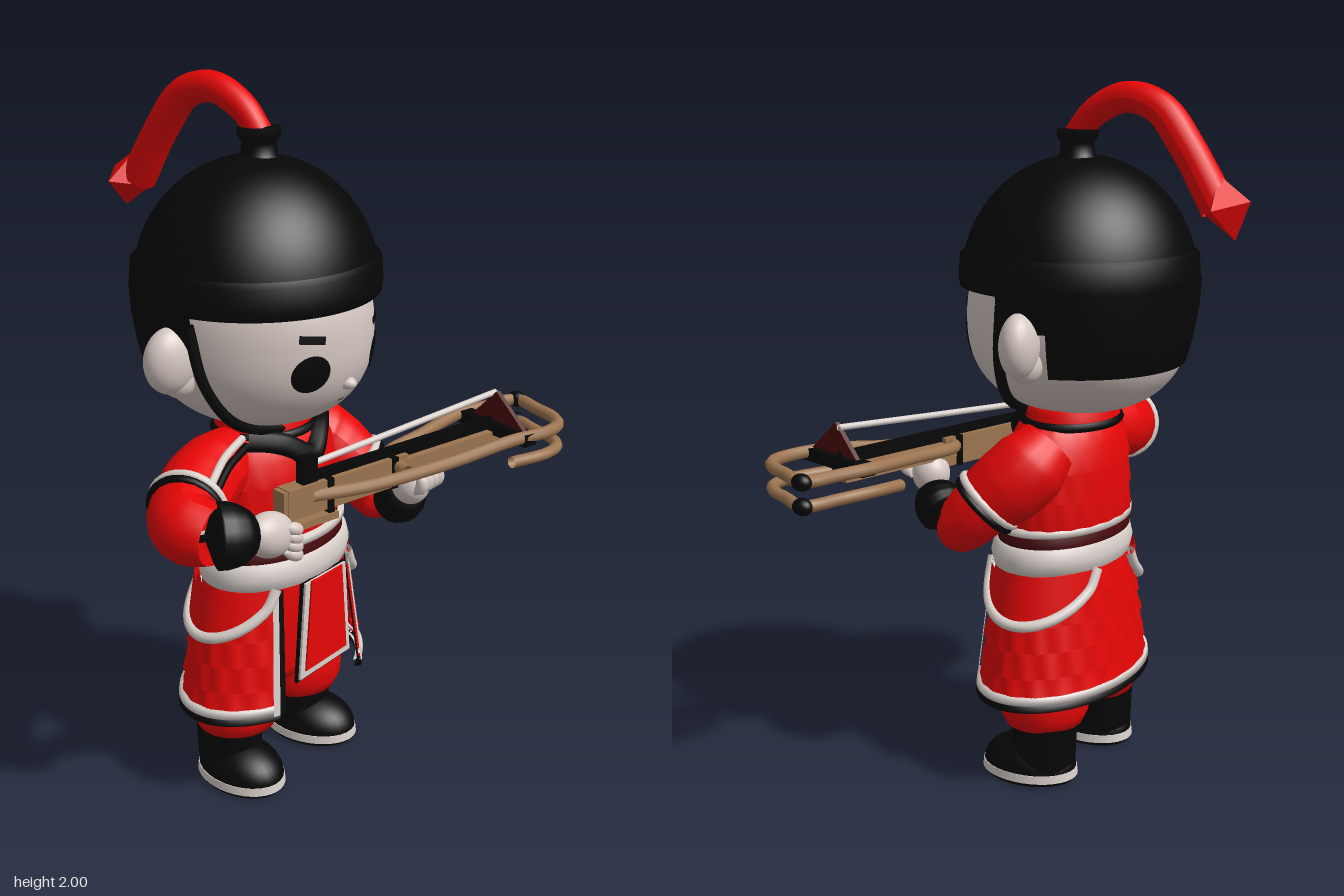
import * as THREE from 'three';

const mat = (name, color) => Object.assign(
  new THREE.MeshStandardMaterial({ color, side: THREE.DoubleSide }), { name });
const V = (p) => new THREE.Vector3(...p);

export function createModel() {
  const red = mat('red cloth', 0xe60606), black = mat('black', 0x060606);
  const skin = mat('skin', 0xd6c8c3), white = mat('white trim', 0xd9d0cb);
  const wood = mat('wood', 0x9c7450), maroon = mat('dark red', 0x4d0a0d);

  const model = new THREE.Group();
  const group = (parent, name, x, y, z) => {
    const g = new THREE.Group();
    g.name = name;
    g.position.set(x, y, z);
    parent.add(g);
    return g;
  };
  const body = group(model, 'body', -0.108, 0, 0);
  const head = group(model, 'headAndHelmet', -0.123, 0, 0);

  const add = (parent, name, geo, material, pos = [0, 0, 0], scale = [1, 1, 1]) => {
    const m = new THREE.Mesh(geo, material);
    m.name = name;
    m.position.set(...pos);
    m.scale.set(...scale);
    parent.add(m);
    return m;
  };
  const ball = (parent, name, material, pos, radii) =>
    add(parent, name, new THREE.SphereGeometry(1, 28, 20), material, pos, radii);
  const box = (parent, name, material, size, pos) =>
    add(parent, name, new THREE.BoxGeometry(...size), material, pos);
  // Elliptical turned part: points are [radius, y], listed upwards
  const turnedIn = (parent) => (name, pts, material, zScale, z = 0, a = 0, len = Math.PI * 2) =>
    add(parent, name, new THREE.LatheGeometry(pts.map(p => new THREE.Vector2(...p)), 96, a, len),
      material, [0, 0, z], [1, 1, zScale]);
  const turned = turnedIn(body), headTurned = turnedIn(head);
  // Tube whose radius follows a list along its length
  const limb = (parent, name, pts, radii, material, seg = 28) => {
    const curve = new THREE.CatmullRomCurve3(pts.map(V));
    const geo = new THREE.TubeGeometry(curve, seg, 1, 18);
    const pos = geo.attributes.position, v = new THREE.Vector3();
    for (let i = 0; i < pos.count; i++) {
      const t = Math.floor(i / 19) / seg, f = t * (radii.length - 1);
      const k = Math.min(Math.floor(f), radii.length - 2);
      const r = THREE.MathUtils.lerp(radii[k], radii[k + 1], f - k);
      const c = curve.getPointAt(t);
      v.fromBufferAttribute(pos, i).sub(c).multiplyScalar(r).add(c);
      pos.setXYZ(i, v.x, v.y, v.z);
    }
    geo.computeVertexNormals();
    return add(parent, name, geo, material);
  };
  const tube = (parent, name, pts, r, material) => add(parent, name,
    new THREE.TubeGeometry(new THREE.CatmullRomCurve3(pts.map(V), false, 'centripetal'), 64, r, 10), material);
  const ring = (name, pos, dir, R, r, material) =>
    add(model, name, new THREE.TorusGeometry(R, r, 10, 32), material, pos)
      .quaternion.setFromUnitVectors(new THREE.Vector3(0, 0, 1), V(dir).normalize());
  // Armour scales: ripple a turned part, shifting every other row
  const scales = (mesh, depth, rowHeight) => {
    const p = mesh.geometry.attributes.position;
    for (let i = 0; i < p.count; i++) {
      const row = Math.floor(p.getY(i) / rowHeight);
      const k = 1 + depth * Math.cos(Math.atan2(p.getX(i), p.getZ(i)) * 20 + row * Math.PI);
      p.setX(i, p.getX(i) * k);
      p.setZ(i, p.getZ(i) * k);
    }
    mesh.geometry.computeVertexNormals();
  };

  // Head, slightly squared in profile
  const headR = (y) => Math.pow(Math.max(0, 1 - Math.pow(Math.abs((y - 1.345) / 0.265), 2.4)), 1 / 2.4);
  const headZ = (x, y) => 0.32 * Math.sqrt(Math.max(0, headR(y) ** 2 - (x / 0.3) ** 2)) - 0.03;
  const headPts = [];
  for (let i = 0; i <= 36; i++) {
    const y = 1.345 - 0.265 * Math.cos(Math.PI * i / 36);
    headPts.push([0.3 * headR(y), y]);
  }
  headTurned('head', headPts, skin, 0.32 / 0.3, -0.03);

  // Face details laid onto the head surface
  const onFace = (name, geo, material, x, y, lift = 0.005) => {
    geo.translate(x, y, 0);
    const p = geo.attributes.position;
    for (let i = 0; i < p.count; i++) p.setZ(i, headZ(p.getX(i), p.getY(i)) + lift);
    geo.computeVertexNormals();
    add(head, name, geo, material);
  };
  for (const s of [-1, 1]) {
    onFace('eye', new THREE.RingGeometry(0, 1, 28, 4).scale(0.048, 0.051, 1), black, s * 0.135, 1.29);
    onFace('eyebrow', new THREE.PlaneGeometry(0.065, 0.022, 8, 2).rotateZ(s * 0.15), black, s * 0.135, 1.383);
    ball(head, 'ear', skin, [s * 0.332, 1.318, -0.052], [0.076, 0.09, 0.053]).rotation.y = s * 0.25;
    ball(head, 'earLobe', skin, [s * 0.3, 1.26, -0.052], [0.05, 0.052, 0.045]);
  }
  ball(head, 'nose', skin, [0, 1.235, 0.266], [0.022, 0.018, 0.03]);
  onFace('mouth', new THREE.PlaneGeometry(0.025, 0.005, 6, 1), maroon, 0, 1.185, 0.003);

  // Helmet: dome, brow band, neck guard, knob and chin strap
  const dome = [];
  for (let i = 0; i <= 24; i++) {
    const a = Math.PI / 2 * i / 24;
    dome.push([0.338 * Math.cos(a), 1.455 + 0.345 * Math.sin(a)]);
  }
  headTurned('helmetDome', dome, black, 0.97, -0.035);
  headTurned('helmetBand', [[0.29, 1.45], [0.343, 1.445], [0.347, 1.47], [0.342, 1.53], [0.325, 1.545]], black, 0.97, -0.035);
  headTurned('neckGuard', [[0.285, 1.24], [0.305, 1.228], [0.325, 1.3], [0.34, 1.39], [0.344, 1.46]],
    black, 0.99, -0.035, 1.85, Math.PI * 2 - 3.7);
  headTurned('cheekGuard', [[0.29, 1.35], [0.322, 1.35], [0.337, 1.4], [0.344, 1.46]], black, 0.99, -0.035, 1.4, Math.PI * 2 - 2.8);
  headTurned('helmetKnob', [[0.075, 1.77], [0.05, 1.8], [0.046, 1.83], [0.058, 1.85], [0.058, 1.868], [0, 1.872]],
    black, 1, -0.035).position.x = 0.015;
  const strapHalf = [[0.33, 1.42, 0.01], [0.302, 1.26, 0.035], [0.225, 1.145, 0.06], [0.11, 1.09, 0.075]];
  tube(head, 'chinStrap', [...strapHalf, [0, 1.075, 0.08],
    ...strapHalf.map(([x, y, z]) => [-x, y, z]).reverse()], 0.015, black);

  // Plume
  limb(body, 'plume', [[0, 1.85, -0.03], [0, 1.915, -0.09], [0, 1.957, -0.19], [0, 1.93, -0.29],
    [0, 1.83, -0.375], [0, 1.68, -0.47]], [0.036, 0.04, 0.043, 0.047, 0.047, 0.05], red, 40);
  add(body, 'plumeTuft', new THREE.OctahedronGeometry(1, 0), red, [0, 1.68, -0.495], [0.095, 0.088, 0.07]).rotation.x = 0.3;

  // Torso in overlapping armour rows
  scales(turned('torso', [[0.22, 0.64], [0.222, 0.76], [0.24, 0.775], [0.23, 0.85], [0.238, 0.855], [0.226, 0.93],
    [0.232, 0.935], [0.215, 1.0], [0.185, 1.045], [0.15, 1.065]], red, 0.67, -0.008), 0.01, 0.08);
  turned('collar', [[0.155, 1.055], [0.15, 1.09], [0.138, 1.115], [0.1, 1.118]], red, 0.84, -0.025);
  turned('collarTrim', [[0.16, 1.045], [0.168, 1.055], [0.162, 1.068], [0.15, 1.07]], black, 0.84, -0.022);
  tube(body, 'scarf', [[-0.16, 1.06, 0.04], [-0.08, 1.04, 0.1], [0, 0.995, 0.135], [0.08, 1.04, 0.1], [0.16, 1.06, 0.04]], 0.032, black);

  // Belt
  turned('belt', [[0.23, 0.635], [0.252, 0.645], [0.262, 0.68], [0.252, 0.715], [0.235, 0.722]], white, 0.69, 0.008);
  turned('beltBand', [[0.23, 0.72], [0.244, 0.722], [0.244, 0.758], [0.23, 0.76]], maroon, 0.69, 0.002);
  turned('beltTrim', [[0.23, 0.753], [0.25, 0.756], [0.25, 0.775], [0.23, 0.78]], white, 0.69, 0.002);

  // Skirt in scaled rows, open at the front
  const open = 0.6, span = Math.PI * 2 - open * 2, skirtZ = 0.002;
  const skirtR = (y) => 0.262 + (0.65 - y) * 0.17;
  const rows = [];
  for (let i = 0; i < 5; i++) {
    const y = 0.285 + i * 0.073;
    rows.push([skirtR(y) + 0.007, y], [skirtR(y + 0.07) - 0.003, y + 0.07]);
  }
  scales(turned('skirt', rows, red, 0.64, skirtZ, open, span), 0.013, 0.073);
  const hem = (name, y0, y1, off, m) => turned(name,
    [[skirtR(y0) - 0.015, y0], [skirtR(y0) + off, y0], [skirtR(y1) + off, y1], [skirtR(y1) - 0.005, y1]],
    m, 0.64, skirtZ, open, span);
  hem('skirtHem', 0.265, 0.286, 0.012, black);
  hem('skirtHemTrim', 0.286, 0.307, 0.015, white);
  for (const s of [-1, 1]) {
    const strip = (name, a, w, off, m) => turned(name, [[skirtR(0.28) + off, 0.28], [skirtR(0.64) + off, 0.64]],
      m, 0.64, skirtZ, s > 0 ? a : -a - w, w);
    strip('panelTrim', open, 0.07, 0.016, white);
    strip('panelEdge', open - 0.06, 0.06, 0.008, black);
  }
  turned('underSkirt', [[0, 0.28], [0.15, 0.29], [0.235, 0.36], [0.24, 0.64]], red, 0.62, -0.01);

  // Front flap with layered borders
  const flap = (name, inset, z, m) => {
    const b = 0.117 - inset, t = 0.092 - inset, y0 = 0.36 + inset;
    const shape = new THREE.Shape([[-b, y0], [b, y0], [t, 0.65], [-t, 0.65]].map(p => new THREE.Vector2(...p)));
    add(body, name, new THREE.ExtrudeGeometry(shape, { depth: 0.008, bevelEnabled: false }), m, [0, 0, z]);
  };
  flap('flapBack', -0.008, 0.178, black);
  flap('flapTrim', 0, 0.185, white);
  flap('flap', 0.022, 0.19, red);

  for (const s of [-1, 1]) {
    // Hip lappet with rounded lower edge
    const at = (u, v, off) => {
      const phi = s * (0.63 + u * 2.17);
      const y = 0.65 - v * 0.14 * Math.pow(Math.sin(Math.PI * u), 0.55);
      const r = skirtR(y) + off;
      return [r * Math.sin(phi), y, 0.64 * r * Math.cos(phi) + skirtZ];
    };
    const geo = new THREE.PlaneGeometry(1, 1, 28, 6), gp = geo.attributes.position;
    for (let i = 0; i < gp.count; i++) gp.setXYZ(i, ...at(0.5 + s * gp.getX(i), 0.5 - gp.getY(i), 0.014));
    geo.computeVertexNormals();
    add(body, 'hipLappet', geo, red);
    tube(body, 'hipTrim', Array.from({ length: 21 }, (_, i) => at(i / 20, 1, 0.014)), 0.016, white);

    // Trouser leg and boot
    turned('trouserLeg', [[0.08, 0.165], [0.118, 0.175], [0.134, 0.21], [0.138, 0.26], [0.128, 0.34], [0.1, 0.42]],
      red, 0.95, -0.02).position.x = s * 0.143;
    const boot = group(body, 'boot', s * 0.163, 0, -0.02);
    boot.rotation.y = s * 0.12;
    add(boot, 'soleBottom', new THREE.CylinderGeometry(1, 0.95, 0.012, 36), black, [0, 0.009, 0.035], [0.105, 1, 0.144]);
    add(boot, 'soleTrim', new THREE.CylinderGeometry(0.98, 1, 0.024, 36), white, [0, 0.027, 0.035], [0.108, 1, 0.147]);
    add(boot, 'bootFoot', new THREE.SphereGeometry(1, 28, 12, 0, Math.PI * 2, 0, Math.PI / 2), black, [0, 0.035, 0.035], [0.104, 0.09, 0.143]);
    add(boot, 'bootShaft', new THREE.CylinderGeometry(0.097, 0.09, 0.16, 28), black, [0, 0.115, -0.012]);
  }

  // Right arm, bent outward
  limb(model, 'rightSleeve', [[-0.34, 0.98, -0.02], [-0.47, 0.95, 0.02], [-0.565, 0.93, 0.09], [-0.555, 0.925, 0.18]],
    [0.07, 0.09, 0.095, 0.1, 0.095, 0.08], red);
  limb(model, 'rightPauldron', [[-0.24, 1.0, -0.03], [-0.38, 0.975, -0.01], [-0.5, 0.948, 0.035]], [0.08, 0.1, 0.104, 0.102], red);
  ring('pauldronTrim', [-0.495, 0.949, 0.033], [-0.12, -0.03, 0.05], 0.1, 0.012, white);
  ring('pauldronEdge', [-0.514, 0.945, 0.041], [-0.12, -0.03, 0.05], 0.098, 0.011, black);
  tube(model, 'pauldronFrontTrim', [[-0.27, 1.065, 0.03], [-0.38, 1.05, 0.06], [-0.48, 1.02, 0.1]], 0.011, white);
  tube(model, 'pauldronFrontEdge', [[-0.27, 1.045, 0.045], [-0.38, 1.03, 0.075], [-0.48, 1.0, 0.114]], 0.012, black);
  limb(model, 'rightCuff', [[-0.575, 0.925, 0.16], [-0.52, 0.92, 0.2], [-0.45, 0.908, 0.225]], [0.01, 0.088, 0.088, 0.08, 0.062, 0.01], black);
  ball(model, 'rightHand', skin, [-0.415, 0.895, 0.24], [0.085, 0.062, 0.052]).rotation.z = -0.35;
  // Left arm, bent forward
  limb(model, 'leftSleeve', [[0.1, 0.96, -0.01], [0.17, 0.86, 0.08], [0.195, 0.78, 0.165], [0.18, 0.785, 0.235]],
    [0.07, 0.09, 0.09, 0.088, 0.08, 0.01], red);
  limb(model, 'leftPauldron', [[0.05, 1.01, -0.045], [0.12, 0.94, -0.005], [0.175, 0.855, 0.08]], [0.085, 0.11, 0.11, 0.1], red);
  ring('pauldronTrim', [0.172, 0.86, 0.077], [0.05, -0.085, 0.07], 0.098, 0.012, white);
  ring('pauldronEdge', [0.18, 0.845, 0.089], [0.05, -0.085, 0.07], 0.096, 0.011, black);
  limb(model, 'leftCuff', [[0.175, 0.78, 0.215], [0.15, 0.815, 0.265], [0.118, 0.86, 0.312]], [0.01, 0.072, 0.075, 0.07, 0.055, 0.01], black);
  ball(model, 'leftHand', skin, [0.108, 0.885, 0.325], [0.055, 0.06, 0.055]);
  for (let i = 0; i < 4; i++) {
    const x = 0.068 + i * 0.026, y = -i * 0.024;
    limb(model, 'leftFinger', [[x, 0.875, 0.365], [x, 0.91, 0.39], [x, 0.945, 0.37]], [0.004, 0.018, 0.018, 0.004], skin, 10);
    limb(model, 'rightFinger', [[-0.4, 0.92 + y, 0.27], [-0.365, 0.905 + y, 0.285], [-0.335, 0.89 + y, 0.275]], [0.004, 0.018, 0.018, 0.004], skin, 10);
  }

  // Crossbow stock, rail and bolt
  const bow = group(model, 'crossbow', 0, 0, 0.295);
  bow.rotation.y = -0.23;
  box(bow, 'stock', wood, [0.42, 0.085, 0.05], [-0.13, 0.945, 0]);
  box(bow, 'stockButt', wood, [0.07, 0.07, 0.045], [-0.32, 0.95, 0]);
  box(bow, 'foreStock', wood, [0.4, 0.045, 0.055], [0.24, 0.95, 0]);
  box(bow, 'triggerGuard', wood, [0.14, 0.02, 0.03], [-0.23, 0.87, 0]);
  box(bow, 'trigger', black, [0.02, 0.06, 0.02], [-0.18, 0.89, 0]);
  box(bow, 'topRail', black, [0.72, 0.035, 0.02], [0.08, 0.993, 0]);
  box(bow, 'sight', black, [0.05, 0.08, 0.03], [-0.26, 1.02, 0]);
  for (const x of [-0.2, 0.03]) box(bow, 'strap', black, [0.02, 0.09, 0.062], [x, 0.945, 0]);
  box(bow, 'crossbar', black, [0.045, 0.035, 0.27], [0.43, 0.98, 0.02]);
  tube(bow, 'bolt', [[-0.24, 1.035, 0], [0.1, 1.057, 0], [0.44, 1.08, 0]], 0.009, white);
  const vane = new THREE.Shape([[-0.1, 1], [0.1, 1], [0.01, 1.09]].map(p => new THREE.Vector2(...p)));
  add(bow, 'vane', new THREE.ExtrudeGeometry(vane, { depth: 0.014, bevelEnabled: false }), maroon, [0.423, 0, 0.03]).rotation.y = Math.PI / 2;

  // Bent wooden bow frame, upper and lower bars
  const nose = (y) => [[0.43, y, 0.275], [0.53, y, 0.305], [0.64, y, 0.345], [0.605, y, 0.435], [0.575, y, 0.505],
    [0.53, y, 0.548], [0.46, y, 0.553], [0.34, y, 0.51]];
  tube(model, 'upperFrame', [[0.02, 0.96, 0.37], [0.07, 0.965, 0.265], [0.25, 0.975, 0.266],
    ...nose(0.985), [0.18, 0.965, 0.445], [0.02, 0.955, 0.385], [-0.12, 0.95, 0.325], [-0.25, 0.95, 0.25]], 0.018, wood);
  tube(model, 'lowerFrame', [[0.32, 0.91, 0.27], ...nose(0.918)], 0.017, wood);
  for (const y of [0.985, 0.918]) ball(model, 'frameTip', black, [0.643, y, 0.345], [0.024, 0.024, 0.03]);
  return model;
}
